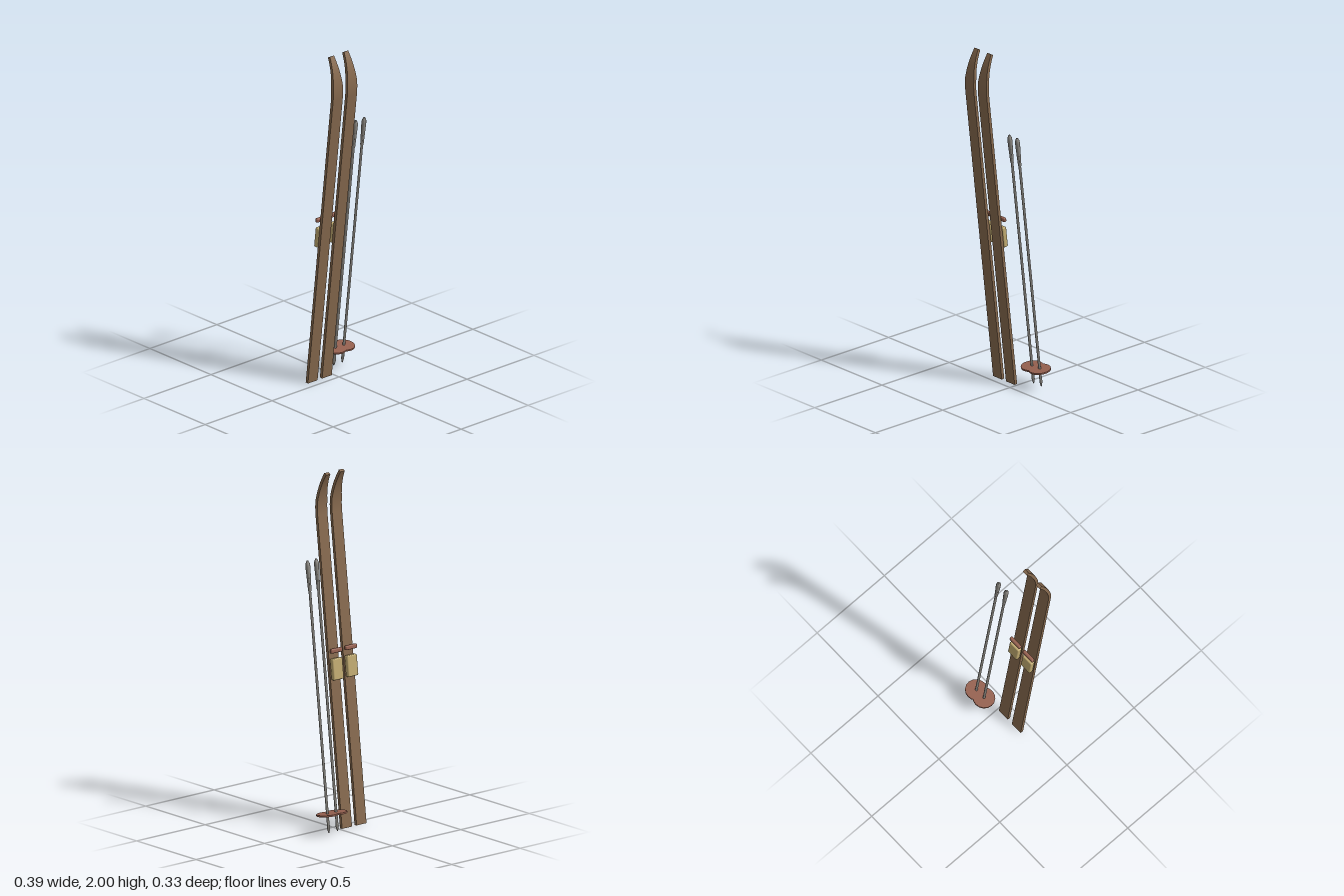
import * as THREE from 'three';
import { RoundedBoxGeometry } from 'three/addons/geometries/RoundedBoxGeometry.js';
import { toCreasedNormals } from 'three/addons/utils/BufferGeometryUtils.js';

const LEAN = 0.118; // everything leans forward by this angle
const paint = (color) => new THREE.MeshStandardMaterial({ color });
const wood = paint(0x86694e), leather = paint(0x95604f), pad = paint(0xbfa970), metal = paint(0x85827c);

function add(parent, name, geometry, material, x = 0, y = 0, z = 0) {
  const mesh = new THREE.Mesh(geometry, material);
  mesh.name = name;
  mesh.position.set(x, y, z);
  parent.add(mesh);
  return mesh;
}

// Plank bent along a straight run and an upturned, tapering tip
function skiGeometry() {
  const rows = 13, width = 0.072, thick = 0.018;
  const tip = new THREE.QuadraticBezierCurve(
    new THREE.Vector2(0.151, 1.75), new THREE.Vector2(0.166, 1.88), new THREE.Vector2(0.103, 1.996));
  const geo = new THREE.BoxGeometry(width, 1, thick, 1, rows, 1);
  const pos = geo.attributes.position;
  for (let i = 0; i < pos.count; i++) {
    const row = Math.round((pos.getY(i) + 0.5) * rows);
    const t = Math.max(0, row - 1) / (rows - 1);
    const c = row === 0 ? new THREE.Vector2(-0.055, 0.001) : tip.getPoint(t);
    const d = tip.getTangent(t);
    const taper = 1 - 0.58 * THREE.MathUtils.clamp((c.y - 1.83) / 0.166, 0, 1);
    const off = pos.getZ(i);
    pos.setXYZ(i, pos.getX(i) * taper, c.y - d.x * off, c.x + d.y * off);
  }
  geo.computeVertexNormals();
  return geo;
}

function makeSki(x) {
  const ski = new THREE.Group();
  ski.name = 'ski';
  ski.position.x = x;
  add(ski, 'skiBlade', skiGeometry(), wood);
  // Foot plate and toe strap on the back face
  add(ski, 'footPlate', new RoundedBoxGeometry(0.072, 0.12, 0.029, 3, 0.007), pad, 0, 0.895, 0.022).rotation.x = LEAN;
  add(ski, 'toeStrap', new RoundedBoxGeometry(0.083, 0.026, 0.02, 3, 0.008), leather, 0, 1.0, 0.027).rotation.x = LEAN;
  return ski;
}

const lathe = (points) => toCreasedNormals(
  new THREE.LatheGeometry(points.map(([r, y]) => new THREE.Vector2(r, y)), 12), 0.7);

function makePole(x) {
  const pole = new THREE.Group();
  pole.name = 'pole';
  pole.position.set(x, 0.014, -0.116);
  pole.rotation.x = LEAN;
  add(pole, 'poleShaft', lathe([[0, 0], [0.003, 0.002], [0.009, 0.03], [0.0075, 0.05], [0.0075, 1.38]]), metal);
  add(pole, 'poleGrip', lathe([[0, 1.365], [0.0095, 1.365], [0.014, 1.5], [0.0125, 1.518], [0.005, 1.535], [0, 1.537]]), metal);
  add(pole, 'poleBasket', new THREE.CylinderGeometry(0.0625, 0.0625, 0.009, 16), leather, 0, 0.106, 0);
  return pole;
}

export function createModel() {
  const model = new THREE.Group();
  model.name = 'skisAndPoles';
  for (const x of [-0.154, -0.048]) model.add(makeSki(x));
  for (const x of [0.067, 0.13]) model.add(makePole(x));
  return model;
}
